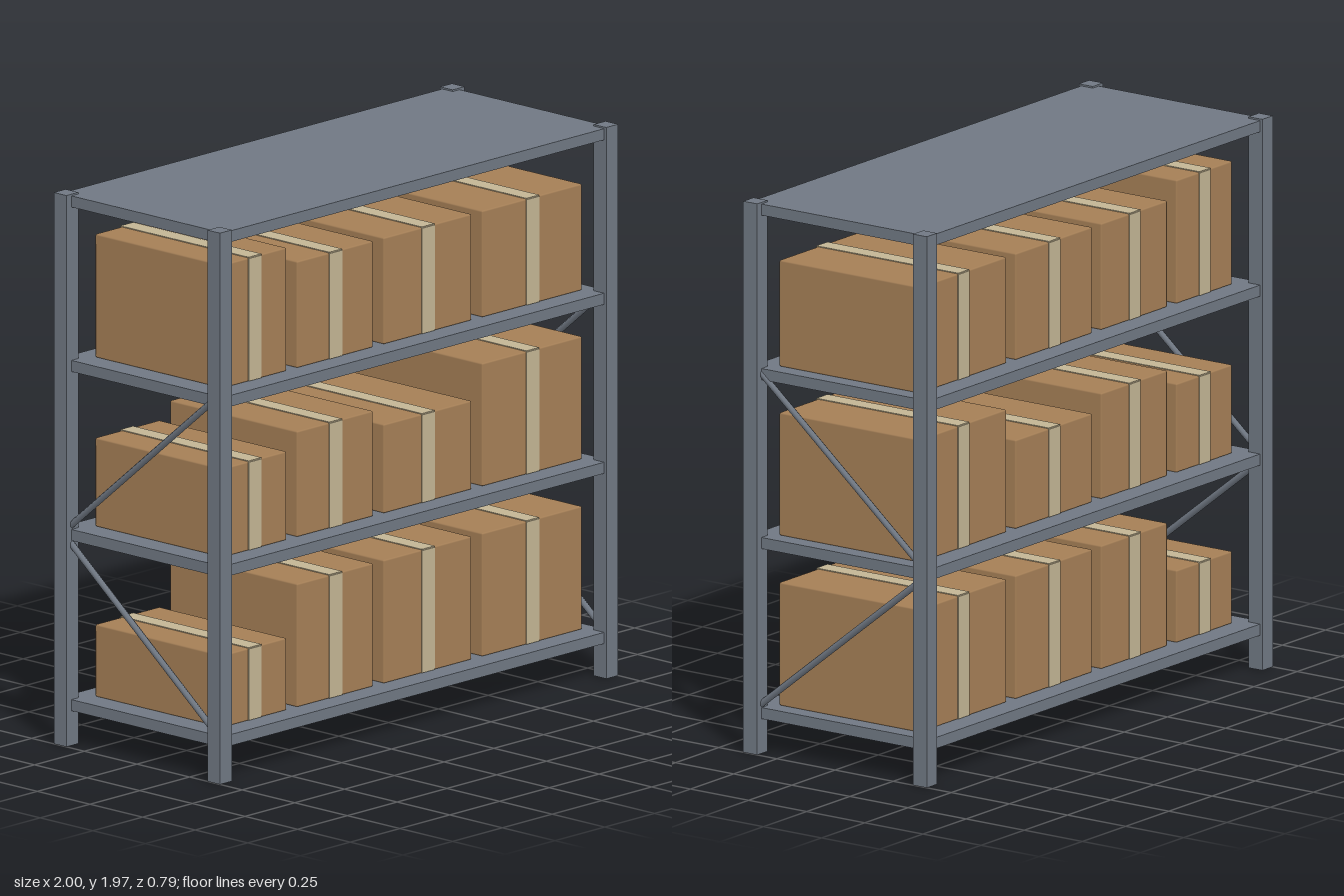
import * as THREE from 'three';
import { RoundedBoxGeometry } from 'three/addons/geometries/RoundedBoxGeometry.js';

const steel = new THREE.MeshStandardMaterial({ name: 'steel grey', color: 0x707883 });
const cardboard = new THREE.MeshStandardMaterial({ name: 'cardboard brown', color: 0xa57f56 });
const tape = new THREE.MeshStandardMaterial({ name: 'packing tape beige', color: 0xc3b594 });

function add(parent, name, geometry, material, x, y, z) {
  const mesh = new THREE.Mesh(geometry, material);
  mesh.name = name;
  mesh.position.set(x, y, z);
  parent.add(mesh);
  return mesh;
}

const box = (w, h, d) => new THREE.BoxGeometry(w, h, d);

// Thin six-sided rod between two points
function addRod(parent, name, a, b, radius) {
  const dir = b.clone().sub(a);
  const mid = a.clone().add(b).multiplyScalar(0.5);
  const rod = add(parent, name, new THREE.CylinderGeometry(radius, radius, dir.length(), 6), steel, mid.x, mid.y, mid.z);
  rod.quaternion.setFromUnitVectors(new THREE.Vector3(0, 1, 0), dir.normalize());
}

// Carton with slightly bevelled edges and a tape strip over front, top and back
function addCarton(parent, x0, x1, base, top) {
  const carton = new THREE.Group();
  carton.name = 'carton';
  carton.position.set((x0 + x1) / 2, base, 0);
  parent.add(carton);
  const h = top - base, depth = 0.606, t = 0.004, tapeWidth = 0.064;
  add(carton, 'cartonBody', new RoundedBoxGeometry(x1 - x0, h, depth, 1, 0.006), cardboard, 0, h / 2, 0);
  add(carton, 'tapeTop', box(tapeWidth, t, depth + t), tape, 0, h + t / 2 - 0.001, 0);
  for (const s of [-1, 1]) {
    add(carton, 'tapeEnd', box(tapeWidth, h - 0.004, t), tape, 0, h / 2, s * (depth / 2 + t / 2 - 0.001));
  }
}

export function createModel() {
  const rack = new THREE.Group();
  rack.name = 'storageRack';

  // Corner posts
  for (const x of [-0.97, 0.97]) {
    for (const z of [-0.365, 0.365]) {
      add(rack, 'post', box(0.06, 1.97, 0.06), steel, x, 0.985, z);
    }
  }

  // Shelves, given by the height of their upper face
  const shelfTops = [0.164, 0.772, 1.376, 1.964];
  for (const y of shelfTops) {
    add(rack, 'shelf', box(1.95, 0.04, 0.77), steel, 0, y - 0.02, 0);
  }

  // Zigzag braces on both ends
  for (const x of [-0.97, 0.97]) {
    addRod(rack, 'lowerBrace', new THREE.Vector3(x, 0.155, 0.365), new THREE.Vector3(x, 0.74, -0.365), 0.012);
    addRod(rack, 'upperBrace', new THREE.Vector3(x, 1.38, 0.365), new THREE.Vector3(x, 0.765, -0.365), 0.012);
  }

  // Cartons: four columns on the three lower shelves
  const columns = [[-0.89, -0.568], [-0.515, -0.133], [-0.08, 0.362], [0.415, 0.917]];
  const cartonTops = [
    [0.423, 0.605, 0.605, 0.605],
    [1.09, 1.15, 1.09, 1.212],
    [1.818, 1.757, 1.757, 1.757],
  ];
  cartonTops.forEach((row, r) => row.forEach((top, c) => {
    addCarton(rack, columns[c][0], columns[c][1], shelfTops[r], top);
  }));

  return rack;
}
